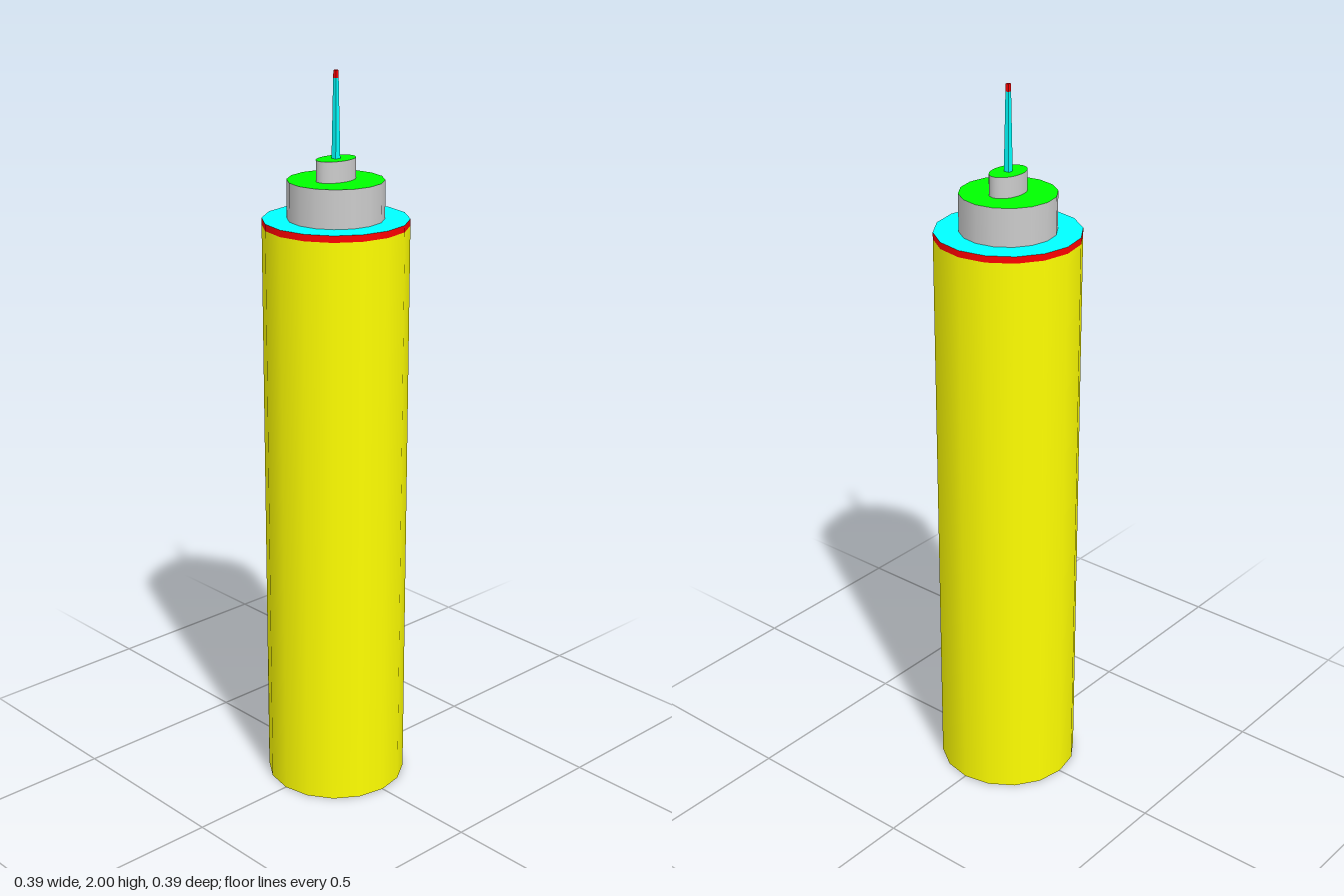
import * as THREE from 'three';

const paint = (color, flat = false) => {
  const material = new THREE.MeshStandardMaterial({ color, side: THREE.DoubleSide });
  material.flatShading = flat;
  return material;
};

const yellow = paint(0xffff00);
const red = paint(0xff0000);
const cyan = paint(0x00ffff);
const green = paint(0x00ff00);
const grey = paint(0xcccccc);
const cyanFlat = paint(0x00ffff, true);
const redFlat = paint(0xff0000, true);

export function createModel() {
  const model = new THREE.Group();

  const add = (name, geometry, material) => {
    const mesh = new THREE.Mesh(geometry, material);
    mesh.name = name;
    model.add(mesh);
    return mesh;
  };

  // Open upright wall between two heights
  const wall = (name, radius, y0, y1, sides, material, depth = 1) => {
    const g = new THREE.CylinderGeometry(radius, radius, y1 - y0, sides, 1, true);
    g.scale(1, 1, depth).translate(0, (y0 + y1) / 2, 0);
    return add(name, g, material);
  };

  // Flat disc facing up
  const lid = (name, radius, y, sides, material, depth = 1) => {
    const g = new THREE.CircleGeometry(radius, sides);
    g.rotateX(-Math.PI / 2).scale(1, 1, depth).translate(0, y, 0);
    return add(name, g, material);
  };

  // Tapering four-sided rod section
  const rod = (name, bottomWidth, topWidth, y0, y1, material) => {
    const g = new THREE.CylinderGeometry(topWidth * Math.SQRT1_2, bottomWidth * Math.SQRT1_2, y1 - y0, 4);
    g.rotateY(Math.PI / 4).translate(0, (y0 + y1) / 2, 0);
    return add(name, g, material);
  };

  // Main tube, open underneath, with a rim band and top
  wall('body', 0.194, 0, 1.6, 16, yellow);
  wall('rimBand', 0.194, 1.6, 1.618, 16, red);
  lid('bodyTop', 0.194, 1.618, 16, cyan);

  // Round collar
  wall('collar', 0.128, 1.618, 1.72, 16, grey);
  lid('collarTop', 0.128, 1.72, 16, green);

  // Oval cap, wider than deep
  wall('ovalCap', 0.06, 1.72, 1.775, 40, grey, 0.67);
  lid('ovalCapTop', 0.06, 1.775, 40, green, 0.67);

  // Thin antenna with a coloured tip
  rod('antenna', 0.016, 0.01, 1.775, 1.98, cyanFlat);
  rod('antennaTip', 0.01, 0.009, 1.98, 2, redFlat);

  return model;
}
